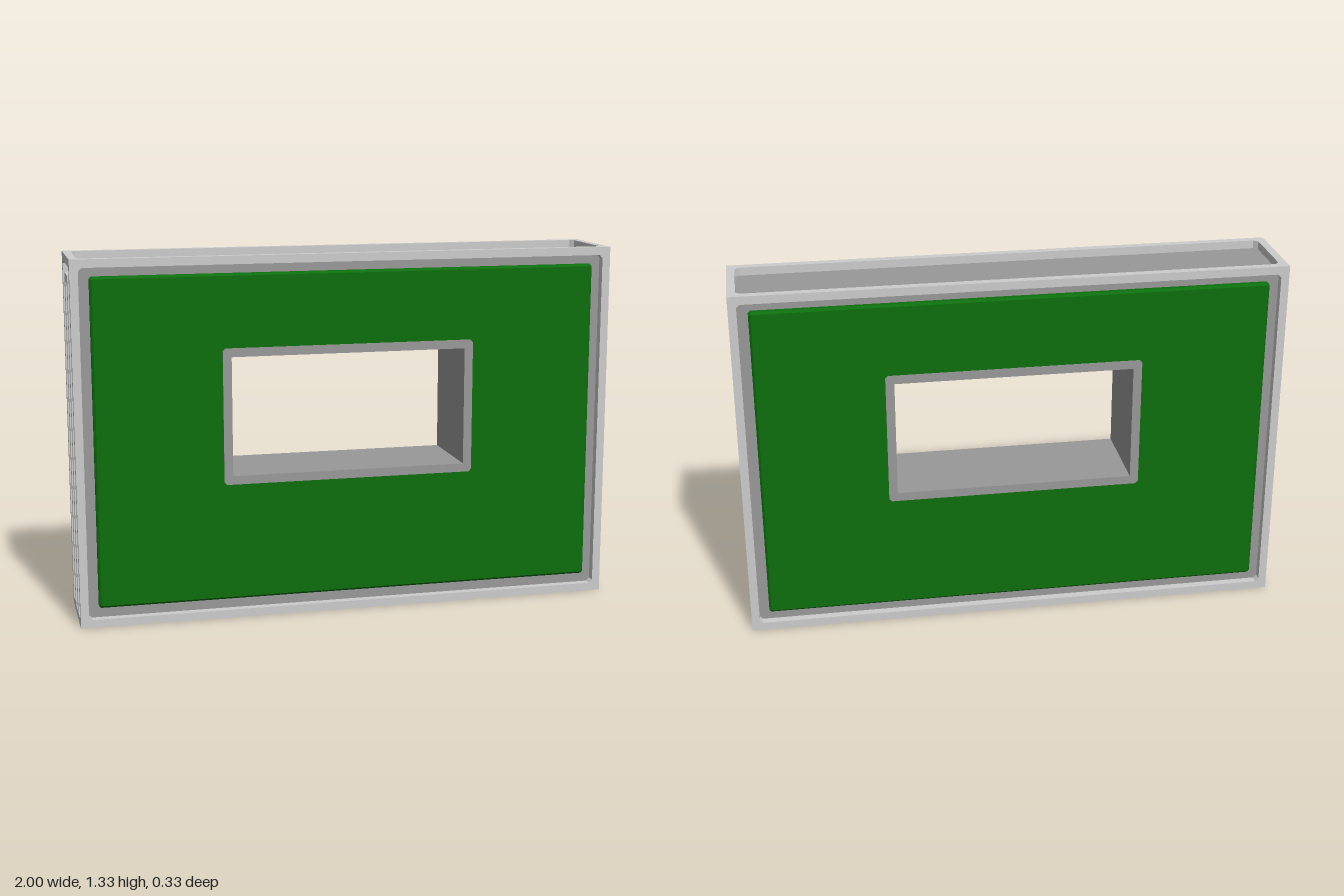
import * as THREE from 'three';

const W = 1, H = 1.333, D = 0.165, T = 0.03; // half width, height, half depth, rim size

const mat = (name, color) => {
  const m = new THREE.MeshStandardMaterial({ color });
  m.name = name;
  return m;
};

// Rectangle outline with cut corners
function rectPoints(x0, y0, x1, y1, c = 0) {
  const p = c
    ? [[x0 + c, y0], [x1 - c, y0], [x1, y0 + c], [x1, y1 - c], [x1 - c, y1], [x0 + c, y1], [x0, y1 - c], [x0, y0 + c]]
    : [[x0, y0], [x1, y0], [x1, y1], [x0, y1]];
  return p.map(([x, y]) => new THREE.Vector2(x, y));
}

// Plate from z0 to z1 with holes
function plate(outline, holes, z0, z1, bevel = 0) {
  const shape = new THREE.Shape(outline);
  holes.forEach((h) => shape.holes.push(new THREE.Path(h)));
  const geo = new THREE.ExtrudeGeometry(shape, {
    depth: z1 - z0 - 2 * bevel, bevelEnabled: bevel > 0,
    bevelSize: bevel, bevelThickness: bevel, bevelOffset: -bevel, bevelSegments: 1,
  });
  return geo.translate(0, 0, z0 + bevel);
}

export function createModel() {
  const group = new THREE.Group();
  const light = mat('light grey', 0xcccccc);
  const dark = mat('dark grey', 0x999999);
  const green = mat('green', 0x0d6e0d);

  const add = (name, geo, material) => {
    const m = new THREE.Mesh(geo, material);
    m.name = name;
    group.add(m);
    return m;
  };
  const box = (x, y, z, w, h, d) => new THREE.BoxGeometry(w, h, d).translate(x, y, z);

  // Core slabs around the window opening; the middle one is shorter to leave the side slots
  const opening = rectPoints(-0.455, 0.52, 0.455, 0.99);
  const slab = (w, z0, z1) => plate(rectPoints(-w, T, w, H - T), [opening], z0, z1);
  add('coreFront', slab(W - T, 0.035, D - T), dark);
  add('coreBack', slab(W - T, T - D, -0.035), dark);
  add('coreMiddle', slab(0.93, -0.035, 0.035), dark);
  add('coreCap', box(0, (1.235 + H - T) / 2, 0, 2 * (W - T), H - T - 1.235, 0.07), dark);

  // Front and back: rim and bevelled green panel
  for (const [side, turn] of [['front', 0], ['back', Math.PI]]) {
    const rim = plate(rectPoints(-W, 0, W, H), [rectPoints(T - W, T, W - T, H - T, 0.012)], D - T, D);
    add(side + 'Rim', rim, light).rotation.y = turn;
    const panel = plate(rectPoints(-0.932, 0.07, 0.932, 1.27, 0.008), [opening], D - T - 0.005, D - 0.003, 0.008);
    add(side + 'Panel', panel, green).rotation.y = turn;
  }

  // Window lining running through the whole depth
  add('windowLining', plate(rectPoints(-0.468, 0.503, 0.468, 1.003, 0.01),
    [rectPoints(-0.436, 0.535, 0.436, 0.971)], -D, D), dark);

  // Top rim
  add('topRim', plate(rectPoints(-W, -D, W, D), [rectPoints(T - W, T - D, W - T, D - T, 0.015)], 0, T)
    .rotateX(-Math.PI / 2).translate(0, H - T, 0), light);

  // Base rim with a shallow panel
  add('baseRim', plate(rectPoints(-W, -D, W, D), [rectPoints(-0.945, -0.123, 0.945, 0.123, 0.03)], 0, T)
    .rotateX(Math.PI / 2).translate(0, T, 0), light);
  add('basePanel', box(0, 0.02, 0, 1.92, 0.03, 0.27), dark);

  // Sides: rim with an arched channel around a toothed slot
  const channel = [[-0.135, T], [-0.066, T], [-0.066, 1.267], [0.066, 1.267], [0.066, T], [0.135, T],
    [0.135, H - T - 0.012], [0.123, H - T], [-0.123, H - T], [-0.135, H - T - 0.012]]
    .map(([x, y]) => new THREE.Vector2(x, y));
  const slot = rectPoints(-0.035, T, 0.035, 1.235);
  const teeth = 18, pitch = (1.235 - T) / teeth;
  for (const [side, s] of [['left', 1], ['right', -1]]) {
    add(side + 'Rim', plate(rectPoints(-D, 0, D, H), [channel, slot], W - T, W), light).rotation.y = s * Math.PI / 2;
    for (let i = 0; i < teeth; i++) {
      add(side + 'Tooth', box(s * 0.945, T + (i + 0.5) * pitch, 0, 0.05, pitch / 2, 0.07), dark);
    }
  }
  return group;
}
